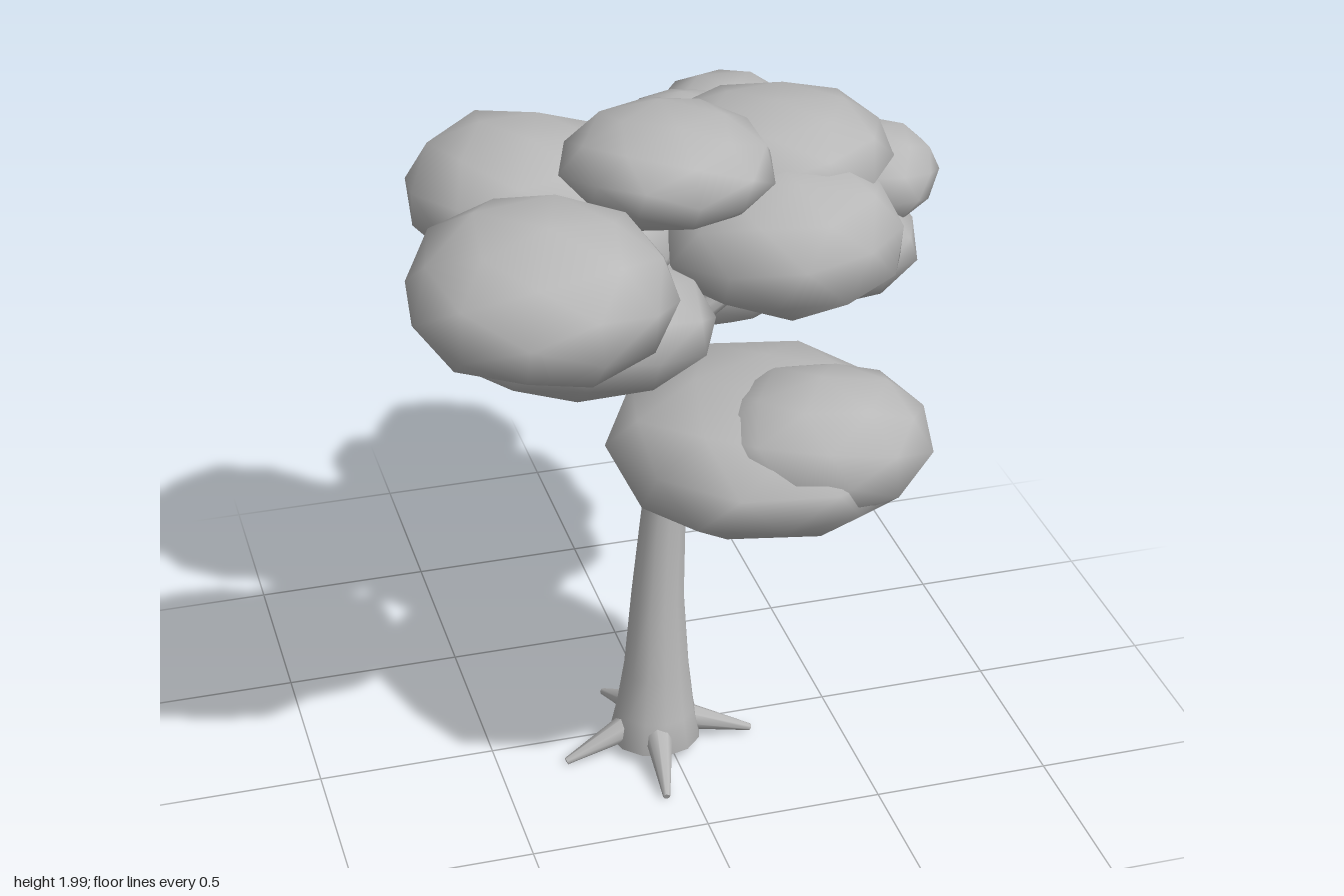
import * as THREE from 'three';
import { mergeVertices } from 'three/addons/utils/BufferGeometryUtils.js';

const grey = new THREE.MeshStandardMaterial({ color: 0xb8b8b8 });
grey.name = 'plain grey';

// small seeded random generator, 0..1
function seeded(seed) {
  let s = seed * 7919 + 17;
  return () => {
    s = (s * 16807) % 2147483647;
    return s / 2147483647;
  };
}

// flattened, slightly irregular low-poly clump with smooth normals
function leafClump([x, y, z, rx, ry, rz, tilt = 0], i) {
  const rand = seeded(i + 3);
  for (let k = 0; k < 5; k++) rand();
  let geo = new THREE.IcosahedronGeometry(1, 1);
  geo.deleteAttribute('normal');
  geo.deleteAttribute('uv');
  geo = mergeVertices(geo, 1e-3);
  geo.rotateY(rand() * 6.28).rotateX(rand() * 0.6);
  const p = geo.attributes.position;
  for (let k = 0; k < p.count; k++) {
    const s = 0.98 + rand() * 0.1;
    p.setXYZ(k, p.getX(k) * s * rx, p.getY(k) * s * ry, p.getZ(k) * s * rz);
  }
  geo.computeVertexNormals();
  const mesh = new THREE.Mesh(geo, grey);
  mesh.position.set(x, y, z);
  mesh.rotation.x = tilt;
  mesh.name = 'leafClump';
  return mesh;
}

// tapered round limb between two points
function limb(name, from, to, r0, r1) {
  const a = new THREE.Vector3(...from), b = new THREE.Vector3(...to);
  const dir = b.clone().sub(a);
  const mesh = new THREE.Mesh(new THREE.CylinderGeometry(r1, r0, dir.length(), 8), grey);
  mesh.position.copy(a).addScaledVector(dir, 0.5);
  mesh.quaternion.setFromUnitVectors(new THREE.Vector3(0, 1, 0), dir.normalize());
  mesh.name = name;
  return mesh;
}

// leaning trunk: each station is centre x, y, centre z, radius
function trunk() {
  const stations = [
    [-0.035, 0.03, 0.075, 0.11], [-0.035, 0.04, 0.075, 0.132], [-0.033, 0.13, 0.073, 0.113],
    [-0.028, 0.26, 0.068, 0.095], [-0.022, 0.5, 0.06, 0.076], [-0.005, 0.75, 0.057, 0.064],
    [0.02, 1.0, 0.057, 0.054], [0.035, 1.2, 0.065, 0.047], [0.045, 1.4, 0.09, 0.035],
    [0.05, 1.55, 0.11, 0.025],
  ];
  const rows = stations.length - 1;
  const sides = 12;
  const geo = new THREE.CylinderGeometry(1, 1, 1, sides, rows);
  const p = geo.attributes.position;
  for (let k = 0; k < p.count; k++) {
    const [cx, cy, cz, r] = stations[Math.round((p.getY(k) + 0.5) * rows)];
    p.setXYZ(k, cx + p.getX(k) * r, cy, cz + p.getZ(k) * r);
  }
  geo.computeVertexNormals();
  // keep the side shading continuous across the seam
  const n = geo.attributes.normal;
  for (let row = 0; row <= rows; row++) {
    const a = row * (sides + 1), b = a + sides;
    const v = new THREE.Vector3().fromBufferAttribute(n, a);
    v.add(new THREE.Vector3().fromBufferAttribute(n, b)).normalize();
    n.setXYZ(a, v.x, v.y, v.z);
    n.setXYZ(b, v.x, v.y, v.z);
  }
  const mesh = new THREE.Mesh(geo, grey);
  mesh.name = 'trunk';
  return mesh;
}

export function createModel() {
  const tree = new THREE.Group();
  tree.name = 'tree';
  tree.add(trunk());

  // four pointed roots
  for (const [x, z] of [[-0.31, 0.12], [0.245, 0.1], [-0.08, 0.36], [-0.12, -0.19]]) {
    const start = [-0.035 + (x + 0.035) * 0.25, 0.09, 0.08 + (z - 0.08) * 0.25];
    tree.add(limb('root', start, [x, 0.015, z], 0.042, 0.01));
  }

  // branches reaching into the foliage
  const branches = [
    [[0.03, 0.95, 0.08], [0.08, 1.1, 0.3]],
    [[0.03, 1.15, 0.05], [0.18, 1.36, -0.16]],
    [[0.04, 1.36, 0.09], [-0.2, 1.6, 0.3]],
    [[0.045, 1.36, 0.09], [0.2, 1.5, 0.14]],
  ];
  for (const [a, b] of branches) tree.add(limb('branch', a, b, 0.032, 0.022));

  // foliage: centre x, y, z, radii, then an optional tilt
  const foliage = new THREE.Group();
  foliage.name = 'foliage';
  const clumps = [
    [-0.46, 1.77, 0.575, 0.335, 0.205, 0.34],
    [-0.335, 1.6, 0.45, 0.34, 0.17, 0.33, -0.2],
    [-0.01, 1.86, 0.13, 0.275, 0.14, 0.285],
    [0.34, 1.77, -0.07, 0.315, 0.145, 0.315],
    [0.3, 1.63, 0.15, 0.32, 0.205, 0.315],
    [0.61, 1.67, -0.07, 0.185, 0.13, 0.195],
    [0.46, 1.53, 0.02, 0.24, 0.16, 0.24],
    [0.43, 1.48, -0.37, 0.265, 0.17, 0.26],
    [0.16, 1.425, -0.27, 0.365, 0.205, 0.36],
    [0.39, 1.555, -0.68, 0.235, 0.155, 0.235],
    [0.21, 1.64, -0.5, 0.18, 0.125, 0.175],
    [-0.31, 1.645, -0.25, 0.315, 0.195, 0.345],
    [-0.12, 1.56, -0.18, 0.22, 0.17, 0.3],
    [0.155, 1.19, 0.45, 0.39, 0.205, 0.405],
    [0.26, 1.25, 0.59, 0.295, 0.18, 0.255],
  ];
  clumps.forEach((c, i) => foliage.add(leafClump(c, i)));
  tree.add(foliage);
  return tree;
}
